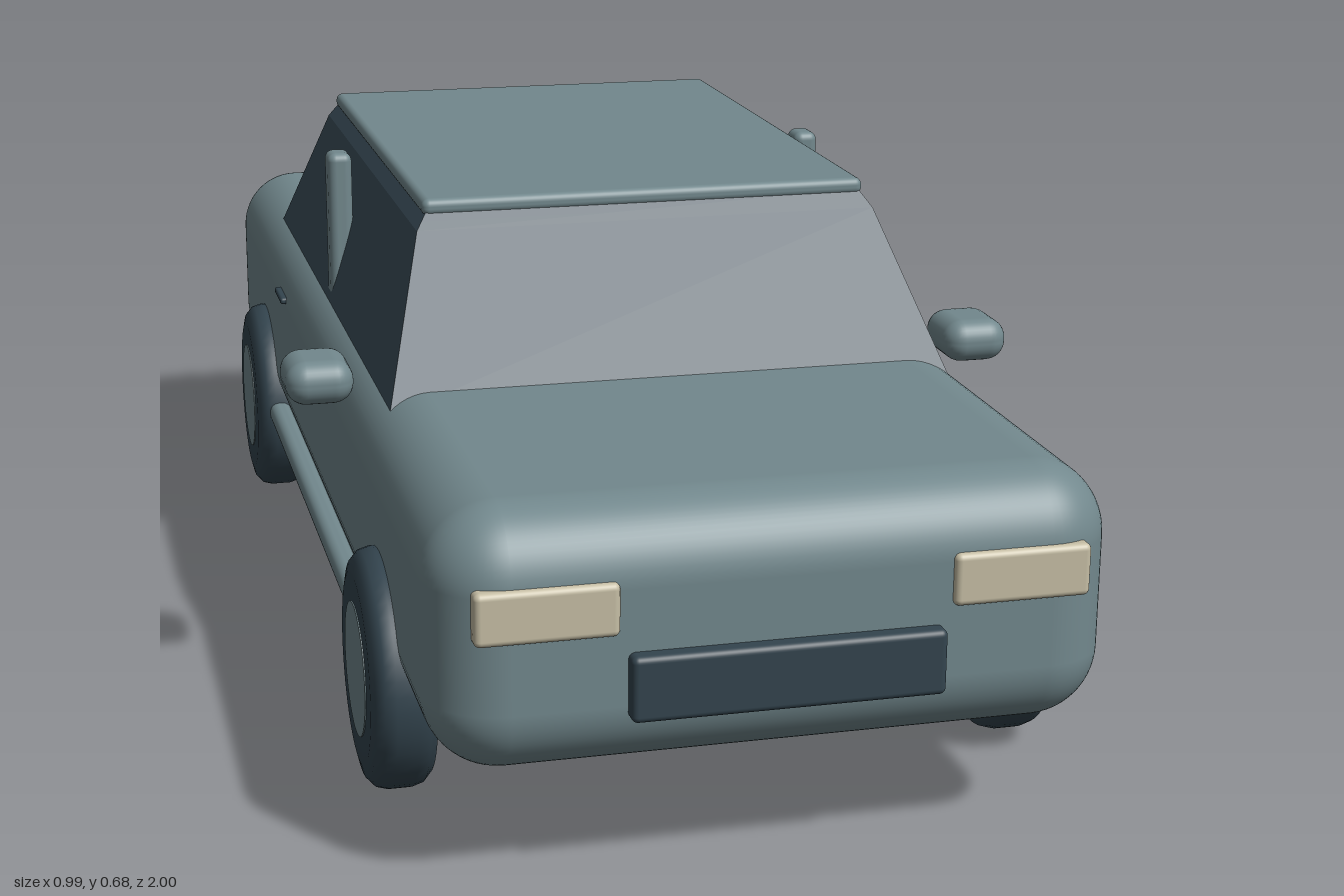
import * as THREE from 'three';
import { RoundedBoxGeometry } from 'three/addons/geometries/RoundedBoxGeometry.js';
import { toCreasedNormals } from 'three/addons/utils/BufferGeometryUtils.js';

function material(name, color) {
  const m = new THREE.MeshStandardMaterial({ color });
  m.name = name;
  return m;
}

export function createModel() {
  const car = new THREE.Group();
  car.name = 'car';
  const paint = material('greyBluePaint', 0x72888d);
  const glass = material('darkGlass', 0x3b4e5a);
  const rubber = material('darkRubber', 0x33444e);
  const lamp = material('creamLamp', 0xc6bea5);

  function add(name, geometry, mat, parent = car) {
    const mesh = new THREE.Mesh(geometry, mat);
    mesh.name = name;
    parent.add(mesh);
    return mesh;
  }

  // Rounded box given by its [min, max] extent on each axis
  function block(name, [x0, x1], [y0, y1], [z0, z1], radius, mat, segments = 4) {
    const geometry = new RoundedBoxGeometry(x1 - x0, y1 - y0, z1 - z0, segments, radius);
    geometry.translate((x0 + x1) / 2, (y0 + y1) / 2, (z0 + z1) / 2);
    return add(name, geometry, mat);
  }

  block('body', [-0.41, 0.41], [0.145, 0.465], [-1, 0.98], 0.09, paint, 8);

  // Cabin: a box tapered towards the roof, with a small chamfer at the top
  const levels = [ // y, half width, half length
    [0.44, 0.376, 0.566],
    [0.645, 0.312, 0.419],
    [0.668, 0.296, 0.402],
  ];
  const cabin = new THREE.BoxGeometry(2, 2, 2, 1, 2, 1);
  const p = cabin.attributes.position;
  for (let i = 0; i < p.count; i++) {
    const [y, w, l] = levels[Math.round(p.getY(i)) + 1];
    p.setXYZ(i, p.getX(i) * w, y, p.getZ(i) * l - 0.078);
  }
  add('cabinGlass', toCreasedNormals(cabin, 0.2), glass);
  block('roof', [-0.302, 0.302], [0.66, 0.683], [-0.483, 0.328], 0.01, paint);

  // Front details
  block('grille', [-0.187, 0.187], [0.22, 0.3], [0.96, 1], 0.008, rubber);

  // Wheels: rounded tyre profile revolved round the x axis, with a flush hub
  const tyreProfile = [[0.08, -0.042], [0.12, -0.042], [0.137, -0.038], [0.148, -0.028],
    [0.152, -0.014], [0.152, 0.014], [0.148, 0.028], [0.137, 0.038], [0.12, 0.042], [0.08, 0.042]];
  const tyre = new THREE.LatheGeometry(tyreProfile.map(([r, h]) => new THREE.Vector2(r, h)), 48);
  tyre.rotateZ(Math.PI / 2);
  const hub = new THREE.CylinderGeometry(0.085, 0.085, 0.087, 40);
  hub.rotateZ(Math.PI / 2);

  for (const [side, s] of [['left', 1], ['right', -1]]) {
    const span = (a, b) => (s > 0 ? [a, b] : [-b, -a]);
    block(side + 'Headlight', span(0.197, 0.364), [0.322, 0.386], [0.955, 0.988], 0.008, lamp);
    block(side + 'Mirror', span(0.405, 0.494), [0.432, 0.49], [0.297, 0.403], 0.027, paint);
    block(side + 'DoorPillar', span(0.335, 0.37), [0.44, 0.666], [-0.125, -0.077], 0.012, paint);
    block(side + 'Sill', span(0.391, 0.425), [0.146, 0.18], [-0.56, 0.55], 0.014, paint);
    block(side + 'FrontHandle', span(0.4, 0.418), [0.381, 0.391], [0.09, 0.17], 0.004, rubber, 2);
    block(side + 'RearHandle', span(0.4, 0.418), [0.381, 0.391], [-0.406, -0.328], 0.004, rubber, 2);

    for (const [end, z] of [['Front', 0.605], ['Rear', -0.614]]) {
      const wheel = new THREE.Group();
      wheel.name = side + end + 'Wheel';
      wheel.position.set(s * 0.401, 0.153, z);
      add('tyre', tyre, rubber, wheel);
      add('hub', hub, paint, wheel);
      car.add(wheel);
    }
  }
  return car;
}
